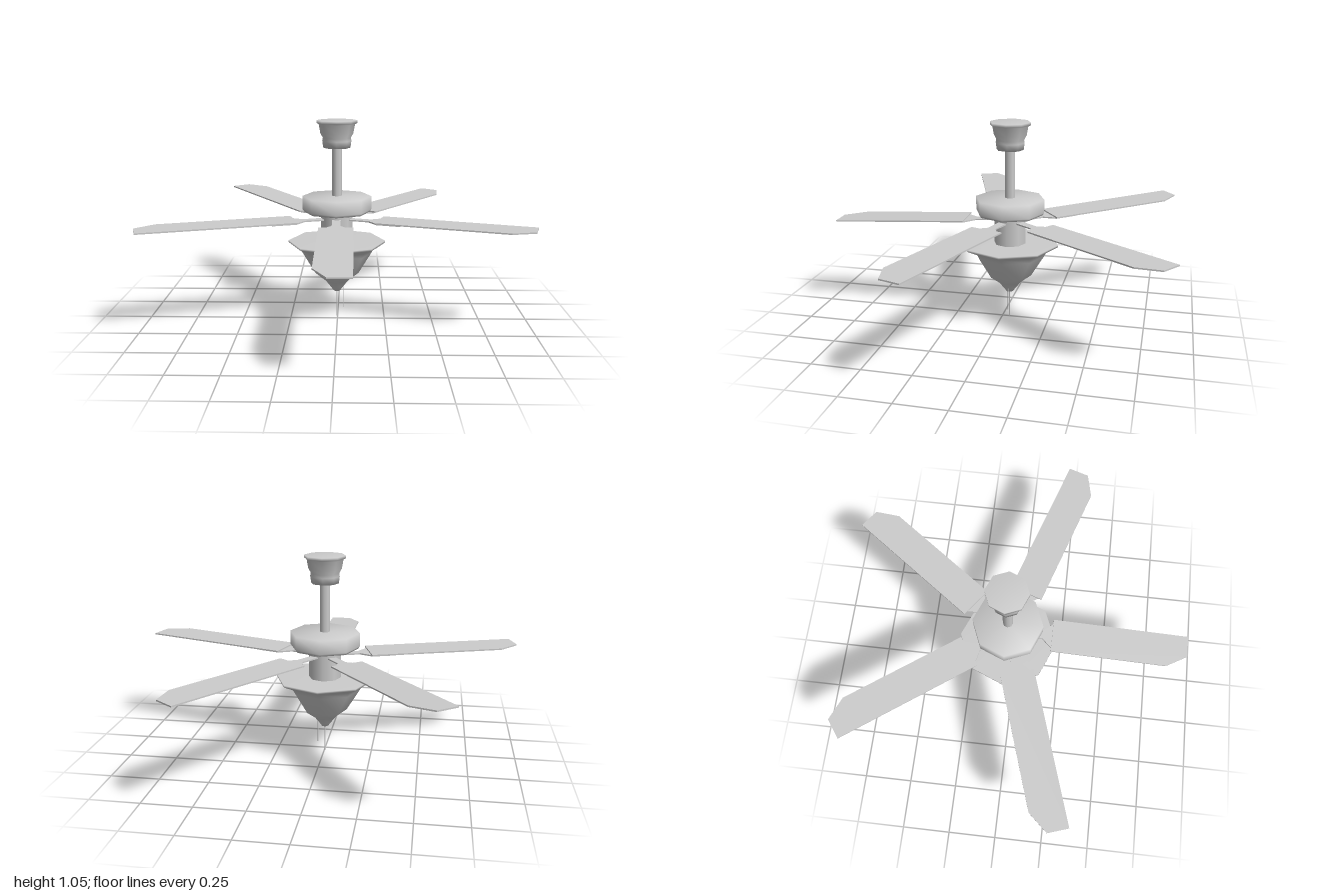
import * as THREE from 'three';

const material = new THREE.MeshStandardMaterial({ color: 0xcccccc, side: THREE.DoubleSide });

// Eight-sided turned part; profile runs bottom to top as [radius, y]
function turned(name, profile) {
  const points = profile.map(([r, y]) => new THREE.Vector2(r, y));
  const mesh = new THREE.Mesh(new THREE.LatheGeometry(points, 8), material);
  mesh.name = name;
  return mesh;
}

// Thin horizontal plate from an outline of [x, z], hanging down from y = top
function plate(name, outline, top, thickness) {
  const shape = new THREE.Shape(outline.map(([x, z]) => new THREE.Vector2(x, z)));
  const geometry = new THREE.ExtrudeGeometry(shape, { depth: thickness, bevelEnabled: false });
  geometry.rotateX(Math.PI / 2);
  geometry.translate(0, top, 0);
  const mesh = new THREE.Mesh(geometry, material);
  mesh.name = name;
  return mesh;
}

function pullChain(name, x, bottom, top) {
  const mesh = new THREE.Mesh(new THREE.CylinderGeometry(0.0025, 0.0025, top - bottom, 6), material);
  mesh.position.set(x, (top + bottom) / 2, 0);
  mesh.name = name;
  return mesh;
}

// Blade pointing along +z with one clipped tip corner, on a forked bracket
function bladeArm(angle, tip, droop) {
  const arm = new THREE.Group();
  arm.name = 'bladeArm';
  const root = 0.23;
  const blade = plate('blade', [
    [-0.087, root], [0.087, root], [0.087, tip], [-0.022, tip], [-0.087, tip - 0.11],
  ], 0.004, 0.007);
  const bracket = plate('bladeBracket', [
    [-0.022, 0.06], [0.022, 0.06], [0.022, 0.18], [0.07, 0.235], [0.07, 0.36],
    [-0.07, 0.36], [-0.07, 0.235], [-0.022, 0.18],
  ], -0.003, 0.007);
  // Pivot at the blade root so the droop starts outside the hub
  for (const part of [blade, bracket]) part.geometry.translate(0, 0, -0.15);
  const pivot = new THREE.Group();
  pivot.name = 'bladeTilt';
  pivot.position.z = 0.15;
  pivot.rotation.x = droop;
  pivot.add(blade, bracket);
  arm.add(pivot);
  arm.rotation.y = angle;
  arm.position.y = 0.543;
  return arm;
}

export function createModel() {
  const model = new THREE.Group();
  model.name = 'ceilingFan';
  const fan = new THREE.Group();
  fan.name = 'fanAssembly';
  fan.position.set(-0.004, 0, -0.038);
  model.add(fan);

  // Central column, ceiling to light bowl
  fan.add(
    turned('ceilingCanopy', [
      [0, 0.91], [0.07, 0.91], [0.075, 0.945], [0.072, 0.96], [0.085, 0.985],
      [0.093, 1.03], [0.105, 1.036], [0.105, 1.05], [0, 1.05],
    ]),
    turned('downRod', [[0.026, 0.65], [0.026, 0.92]]),
    turned('motorHousing', [[0, 0.575], [0.172, 0.575], [0.18, 0.587], [0.18, 0.657], [0, 0.66]]),
    turned('hub', [[0.083, 0.405], [0.083, 0.58]]),
    turned('lightBowl', [
      [0, 0.138], [0.018, 0.144], [0.034, 0.165], [0.062, 0.2], [0.115, 0.24],
      [0.185, 0.355], [0.197, 0.38], [0.255, 0.408], [0.255, 0.418], [0, 0.415],
    ]),
  );

  // Five blades: reach and tilt, stepping around from the front
  const blades = [[0.938, 0.062], [1.023, 0], [1.003, 0], [1.006, -0.033], [1.034, 0]];
  blades.forEach(([tip, droop], i) => fan.add(bladeArm((i * Math.PI * 2) / 5, tip, droop)));

  // Pull chains
  fan.add(pullChain('longPullChain', 0, 0, 0.15), pullChain('shortPullChain', 0.037, 0.05, 0.19));
  return model;
}
